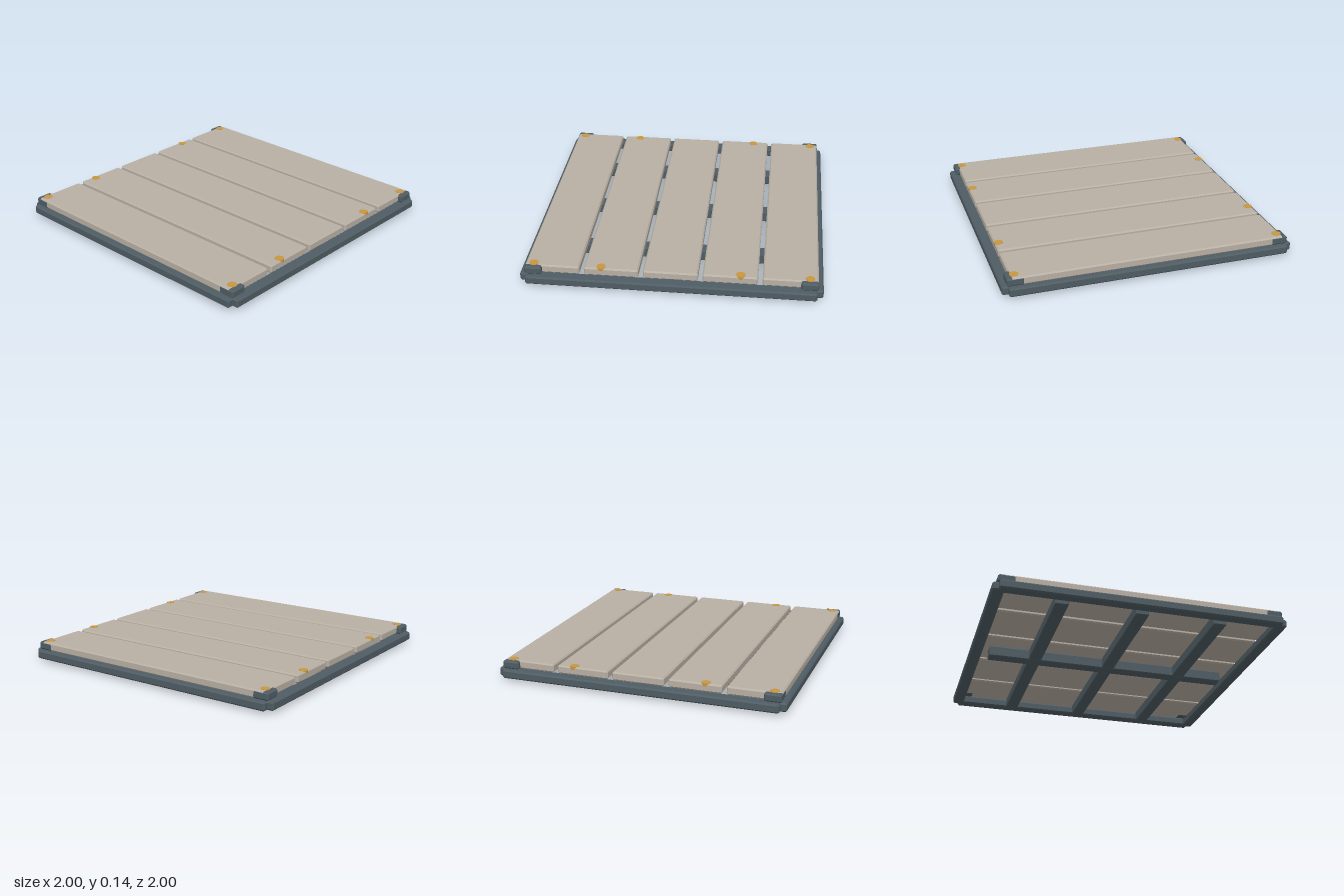
import * as THREE from 'three';
import { ConvexGeometry } from 'three/addons/geometries/ConvexGeometry.js';

const material = (name, color) => {
  const m = new THREE.MeshStandardMaterial({ color });
  m.name = name;
  return m;
};

// Box with flat chamfers of size c on every edge
function chamferBox(w, h, d, c) {
  const points = [];
  for (const x of [-1, 1]) for (const y of [-1, 1]) for (const z of [-1, 1]) {
    for (let axis = 0; axis < 3; axis++) {
      const inset = [c, c, c];
      inset[axis] = 0;
      points.push(new THREE.Vector3(
        x * (w / 2 - inset[0]), y * (h / 2 - inset[1]), z * (d / 2 - inset[2])));
    }
  }
  return new ConvexGeometry(points);
}

export function createModel() {
  const model = new THREE.Group();
  model.name = 'slattedPlatform';
  const slate = material('slate metal', 0x4f5d64);
  const board = material('weathered board', 0xb9b0a4);
  const brass = material('brass', 0xc8963e);

  const add = (name, geometry, mat, x, y, z) => {
    const mesh = new THREE.Mesh(geometry, mat);
    mesh.name = name;
    mesh.position.set(x, y, z);
    model.add(mesh);
  };

  // Outer frame rails
  const longRail = chamferBox(1.92, 0.06, 0.08, 0.01);
  const sideRail = chamferBox(0.08, 0.06, 1.92, 0.01);
  for (const s of [-1, 1]) {
    add(s > 0 ? 'frontRail' : 'backRail', longRail, slate, 0, 0.05, s * 0.96);
    add(s > 0 ? 'leftRail' : 'rightRail', sideRail, slate, s * 0.96, 0.05, 0);
  }

  // Support beams under the boards
  const crossBeam = chamferBox(1.81, 0.075, 0.09, 0.006);
  for (const z of [-0.54, 0, 0.54]) add('crossBeam', crossBeam, slate, 0, 0.0425, z);
  add('spineBeam', chamferBox(0.09, 0.075, 1.74, 0.006), slate, 0, 0.0375, 0);

  // Deck boards
  const plank = chamferBox(0.362, 0.057, 1.876, 0.009);
  for (let i = -2; i <= 2; i++) add('deckBoard', plank, board, i * 0.392, 0.1085, 0);

  // Corner brackets and fastener heads
  const bracket = chamferBox(0.116, 0.055, 0.116, 0.01);
  const bolt = new THREE.CylinderGeometry(0.031, 0.031, 0.02, 16);
  for (const z of [-1, 1]) for (const x of [-1, 1]) {
    add('cornerBracket', bracket, slate, x * 0.91, 0.107, z * 0.91);
    for (const bx of [0.91, 0.46]) add('boltHead', bolt, brass, x * bx, 0.129, z * 0.91);
  }
  return model;
}
